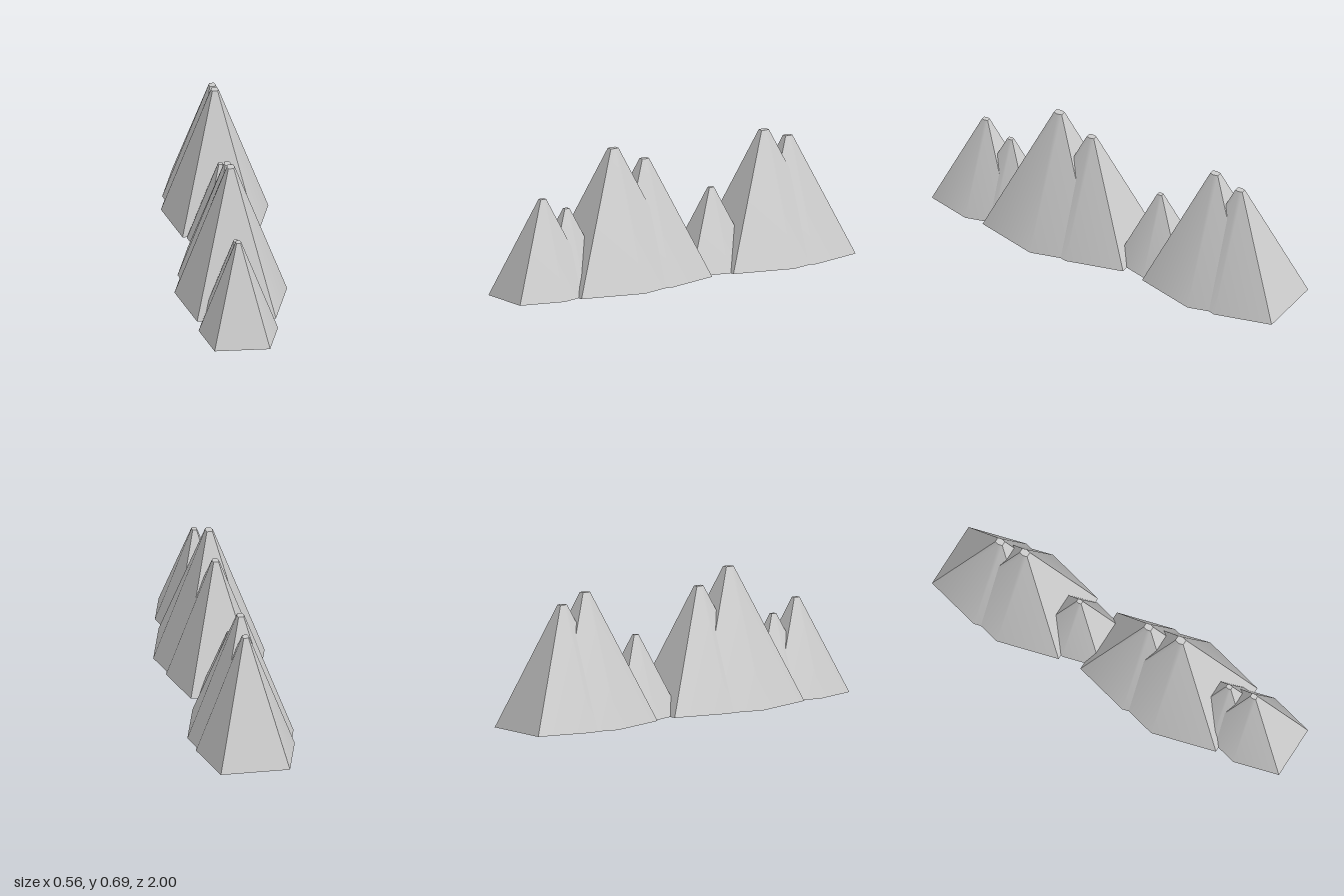
import * as THREE from 'three';
import { toCreasedNormals } from 'three/addons/utils/BufferGeometryUtils.js';

// Six-sided outline: full width in the middle, 70% width at the front and back
const OUTLINE = [[1, 0], [0.7, -1], [-0.7, -1], [-1, 0], [-0.7, 1], [0.7, 1]];
const TIP = 0.07; // size of the flat tip relative to the base

// Hollow tapering peak with a flat tip and an open base
function peakGeometry(width, height, depth) {
  const point = ([x, z], scale, y) => [x * width * scale, y, z * depth * scale];
  const pos = [];
  OUTLINE.forEach((corner, i) => {
    const next = OUTLINE[(i + 1) % OUTLINE.length];
    const a = point(corner, 1, 0), b = point(next, 1, 0);
    const c = point(next, TIP, height), d = point(corner, TIP, height);
    pos.push(...a, ...b, ...c, ...a, ...c, ...d); // wall
    pos.push(0, height, 0, ...d, ...c); // slice of the tip
  });
  const geometry = new THREE.BufferGeometry();
  geometry.setAttribute('position', new THREE.Float32BufferAttribute(pos, 3));
  return toCreasedNormals(geometry, 0.7);
}

export function createModel() {
  const group = new THREE.Group();
  group.name = 'mountainRidge';
  const material = new THREE.MeshStandardMaterial({ color: 0xcccccc, side: THREE.DoubleSide });

  // Peaks from front to back: z, half width, height, half depth
  const peaks = [
    [0.77, 0.198, 0.487, 0.23],
    [0.626, 0.172, 0.42, 0.2],
    [0.343, 0.281, 0.69, 0.326],
    [0.155, 0.249, 0.612, 0.29],
    [-0.246, 0.167, 0.41, 0.194],
    [-0.566, 0.268, 0.66, 0.312],
    [-0.71, 0.249, 0.612, 0.29],
  ];
  peaks.forEach(([z, width, height, depth], i) => {
    const peak = new THREE.Mesh(peakGeometry(width, height, depth), material);
    peak.name = `peak${i + 1}`;
    peak.position.z = z;
    group.add(peak);
  });
  return group;
}
